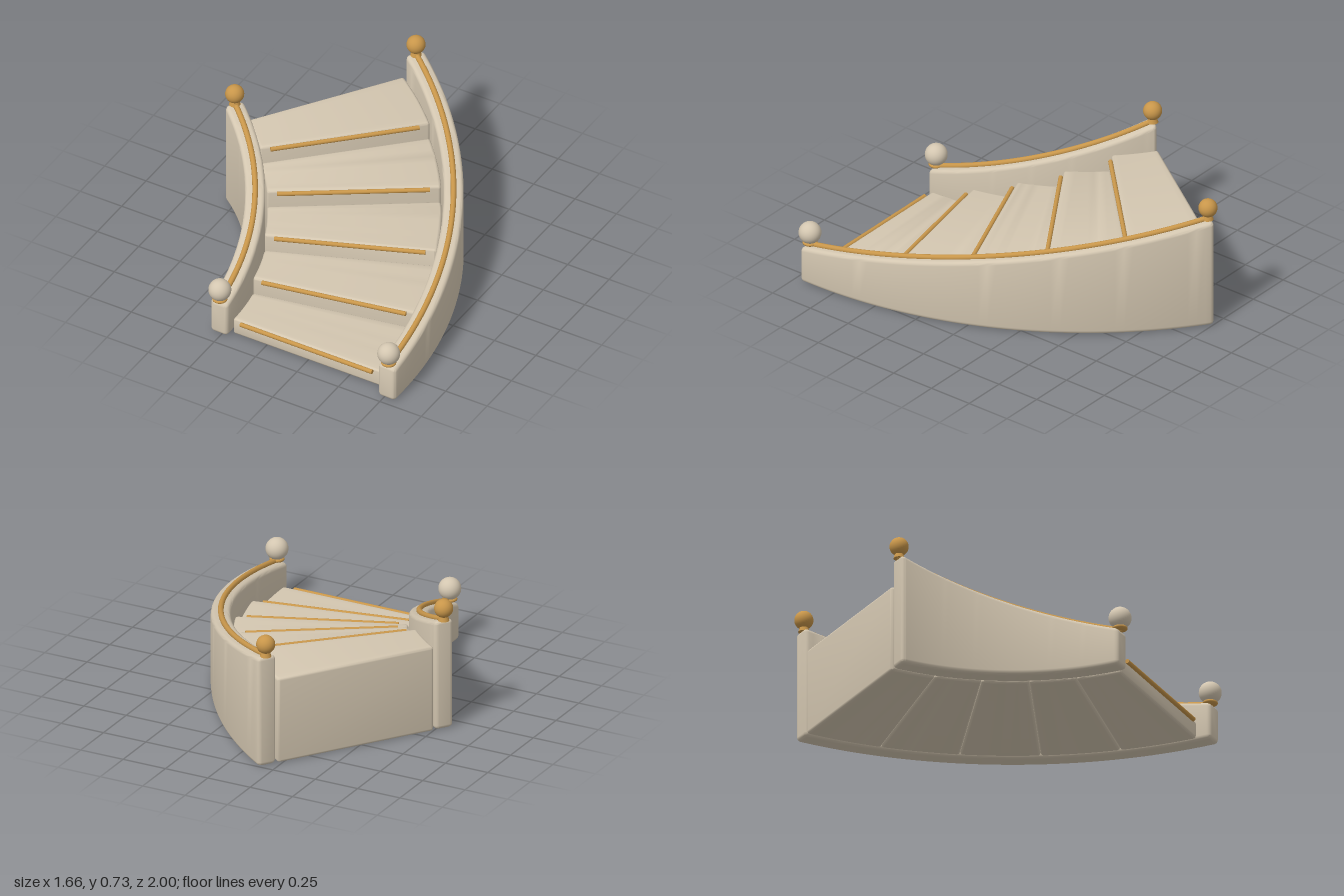
import * as THREE from 'three';
import { toCreasedNormals } from 'three/addons/utils/BufferGeometryUtils.js';

const CX = -1.495, CZ = 0.89;            // centre of the curve
const STEPS = 5, STEP_DEG = 11, RISE = 0.0955;
const START = -1.85, END = 55;           // wall angles in degrees
const rad = THREE.MathUtils.degToRad;

const stone = new THREE.MeshStandardMaterial({ color: 0xd3c6b0 });
stone.name = 'stone';
const gold = new THREE.MeshStandardMaterial({ color: 0xc8964a });
gold.name = 'gold';

// Point at radius r and angle a (radians) around the stair centre
const polar = (r, a, y) => new THREE.Vector3(CX + r * Math.cos(a), y, CZ - r * Math.sin(a));

// Height of the wall top at an angle in radians
const wallTop = (a) => 0.203 + (0.62 - 0.203) * (a - rad(START)) / rad(END - START);

// Curved block with rounded edges, swept from angle a0 to a1; top is a function of angle
function curvedBlock(r0, r1, a0, a1, top, bevel, segments) {
  const N = 4, pos = [], idx = [];
  const sections = [];                   // [angle, shift along the arc, inset]
  for (let k = 0; k <= N; k++) {
    const t = k / N * Math.PI / 2;
    sections.push([a0, bevel * (1 - Math.sin(t)), bevel * (1 - Math.cos(t))]);
  }
  // reverse the inset so the end face is small and grows to full size
  const start = sections.map(([a], k) => {
    const t = k / N * Math.PI / 2;
    return [a, bevel * (1 - Math.cos(t)), bevel * (1 - Math.sin(t))];
  });
  const rings = [...start];
  for (let s = 1; s < segments; s++) rings.push([a0 + (a1 - a0) * s / segments, 0, 0]);
  for (const [, d, e] of [...start].reverse()) rings.push([a1, -d, e]);

  const corners = [[1, 0, -90], [1, 1, 0], [0, 1, 90], [0, 0, 180]];
  const M = corners.length * (N + 1);
  for (const [a, shift, inset] of rings) {
    const c = Math.max(bevel - inset, 0.0005);
    for (const [outer, upper, deg] of corners) {
      for (let k = 0; k <= N; k++) {
        const t = rad(deg + 90 * k / N);
        const r = (outer ? r1 - bevel : r0 + bevel) + c * Math.cos(t);
        const angle = a + shift / r;
        const y = (upper ? top(angle) - bevel : bevel) + c * Math.sin(t);
        pos.push(...polar(r, angle, y).toArray());
      }
    }
  }
  for (let i = 0; i < rings.length - 1; i++) {
    for (let j = 0; j < M; j++) {
      const a = i * M + j, b = i * M + (j + 1) % M;
      idx.push(a, b + M, b, a, a + M, b + M);
    }
  }
  const last = (rings.length - 1) * M;
  for (let j = 1; j < M - 1; j++) {
    idx.push(0, j, j + 1, last, last + j + 1, last + j);
  }
  const geo = new THREE.BufferGeometry();
  geo.setAttribute('position', new THREE.Float32BufferAttribute(pos, 3));
  geo.setIndex(idx);
  return toCreasedNormals(geo, 0.6);
}

function add(parent, name, geo, mat, position) {
  const mesh = new THREE.Mesh(geo, mat);
  mesh.name = name;
  if (position) mesh.position.copy(position);
  parent.add(mesh);
  return mesh;
}

// Solid wedge steps, each with a round nosing bar in front of its top edge
function buildSteps(root) {
  for (let i = 0; i < STEPS; i++) {
    const step = new THREE.Group();
    step.name = 'step' + (i + 1);
    root.add(step);
    const h = RISE * (i + 1) + 0.003;
    const a0 = rad(STEP_DEG * i), a1 = rad(STEP_DEG * (i + 1));
    add(step, 'tread', curvedBlock(1.292, 2.2, a0, a1, () => h, 0.016, 8), stone);

    const p = polar(1.743, a0, h - 0.012);
    p.x += 0.01 * Math.sin(a0);
    p.z += 0.01 * Math.cos(a0);
    const bar = add(step, 'nosing', new THREE.CylinderGeometry(0.012, 0.012, 0.795, 16), gold, p);
    bar.rotation.set(0, a0, Math.PI / 2, 'YXZ');
  }
}

// Side wall with handrail and ball finials, centred on radius r
function buildSide(root, name, r) {
  const side = new THREE.Group();
  side.name = name;
  root.add(side);
  add(side, 'wall', curvedBlock(r - 0.0525, r + 0.0525, rad(START), rad(END), wallTop, 0.022, 48), stone);

  const a0 = rad(-1.2), a1 = rad(54.5), pts = [];
  for (let i = 0; i <= 24; i++) {
    const a = a0 + (a1 - a0) * i / 24;
    pts.push(polar(r, a, wallTop(a) + 0.005));
  }
  const path = new THREE.CatmullRomCurve3(pts);
  add(side, 'handrail', new THREE.TubeGeometry(path, 80, 0.015, 12), gold);
  for (const p of [pts[0], pts[24]]) add(side, 'railEnd', new THREE.SphereGeometry(0.015, 12, 8), gold, p);

  // front finial: gold collar and stone ball
  add(side, 'frontCollar', new THREE.SphereGeometry(0.04, 24, 12).scale(1, 0.4, 1), gold, polar(r, a0, 0.222));
  add(side, 'frontBall', new THREE.SphereGeometry(0.06, 32, 20), stone, polar(r, a0, 0.281));
  // rear finial: gold neck and ball
  add(side, 'rearNeck', new THREE.CylinderGeometry(0.02, 0.03, 0.03, 20), gold, polar(r, a1, 0.63));
  add(side, 'rearBall', new THREE.SphereGeometry(0.05, 32, 20), gold, polar(r, a1, 0.683));
}

export function createModel() {
  const root = new THREE.Group();
  root.name = 'curvedStaircase';
  buildSteps(root);
  buildSide(root, 'innerSide', 1.23);
  buildSide(root, 'outerSide', 2.262);
  return root;
}
